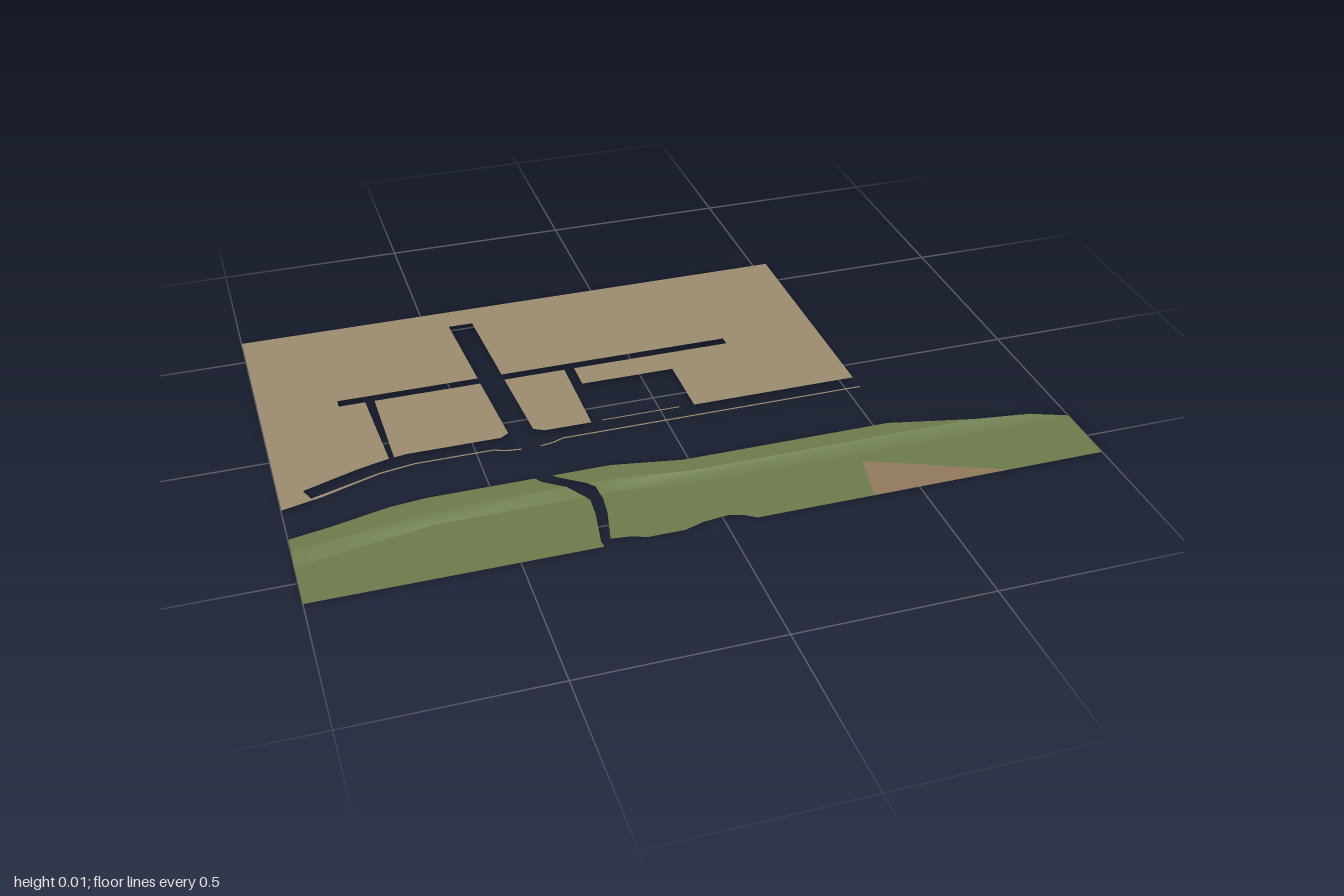
import * as THREE from 'three';

const H = 0.015; // height of the upper ground
const FRONT = 0.577;

// Crest and foot of the embankment as (x, z) lines
const CREST = [[-1, 0.4], [-0.88, 0.38], [-0.66, 0.34], [-0.2, 0.34], [-0.02, 0.365], [1, 0.365]];
const FOOT = [[-1, 0.44], [-0.88, 0.415], [-0.66, 0.375], [-0.2, 0.375], [-0.02, 0.402], [1, 0.402]];

function zAt(line, x) {
  let i = 0;
  while (i < line.length - 2 && x > line[i + 1][0]) i++;
  const [a, b] = [line[i], line[i + 1]];
  return a[1] + (b[1] - a[1]) * (x - a[0]) / (b[0] - a[0]);
}

// Ground height: flat above the crest, sloping to zero at the foot
function slopeY(x, z) {
  const c = zAt(CREST, x), f = zAt(FOOT, x);
  return H * THREE.MathUtils.clamp((f - z) / (f - c), 0, 1);
}

const earth = new THREE.MeshStandardMaterial({ color: 0x9a8a6e, side: THREE.DoubleSide });
const grass = new THREE.MeshStandardMaterial({ color: 0x6b7a4b, side: THREE.DoubleSide });
const soil = new THREE.MeshStandardMaterial({ color: 0x8f795c, side: THREE.DoubleSide });

// Surface bounded by (x, z) points, lifted by a height rule
function ground(name, points, material, heightAt) {
  const shape = new THREE.Shape(points.map(([x, z]) => new THREE.Vector2(x, -z)));
  const geo = new THREE.ShapeGeometry(shape).rotateX(-Math.PI / 2);
  const p = geo.attributes.position;
  for (let i = 0; i < p.count; i++) p.setY(i, heightAt(p.getX(i), p.getZ(i)));
  geo.computeVertexNormals();
  const mesh = new THREE.Mesh(geo, material);
  mesh.name = name;
  return mesh;
}

function createVillage() {
  const village = new THREE.Group();
  village.name = 'villageGround';
  const add = (name, pts) => village.add(ground(name, pts, earth, () => H));

  // Outer land, wrapped around the streets and the courtyard
  add('outerLand', [
    [-1, -FRONT], [0.53, -FRONT], [0.53, 0.085], [0.085, 0.085], [0.085, -0.1], [-0.165, -0.1],
    [-0.165, -0.182], [0.267, -0.182], [0.267, -0.209], [-0.358, -0.209], [-0.374, -0.497],
    [-0.44, -0.497], [-0.423, -0.209], [-0.797, -0.209], [-0.797, -0.182], [-0.728, -0.182],
    [-0.716, 0.092], [-0.8, 0.115], [-0.94, 0.166], [-0.925, 0.203], [-0.75, 0.145], [-0.66, 0.13],
    [-0.46, 0.13], [-0.43, 0.142], [-0.392, 0.147], [-0.392, 0.152], [-0.43, 0.147], [-0.46, 0.135],
    [-0.66, 0.135], [-0.75, 0.151], [-0.9, 0.205], [-1, 0.23],
  ]);
  // Blocks either side of the avenue
  add('leftBlock', [
    [-0.704, -0.182], [-0.422, -0.182], [-0.407, 0.07], [-0.43, 0.085], [-0.67, 0.085], [-0.703, 0.09],
  ]);
  add('rightBlock', [
    [-0.357, -0.182], [-0.192, -0.182], [-0.192, 0.085], [-0.315, 0.085], [-0.342, 0.07],
  ]);
  // Thin verges along the main road
  add('roadVerge', [
    [-0.342, 0.147], [-0.31, 0.142], [-0.28, 0.13], [0.53, 0.13],
    [0.53, 0.135], [-0.28, 0.135], [-0.31, 0.147], [-0.342, 0.152],
  ]);
  add('courtyardVerge', [[-0.163, 0.081], [0.045, 0.081], [0.045, 0.085], [-0.163, 0.085]]);
  return village;
}

function createEmbankment() {
  const bank = new THREE.Group();
  bank.name = 'embankment';
  const add = (name, pts, mat = grass) => bank.add(ground(name, pts, mat, slopeY));

  // Shared lines on each side of the footpath cutting
  const crestL = [...CREST.slice(0, 3), [-0.327, 0.34]];
  const footL = [...FOOT.slice(0, 3), [-0.288, 0.375]];
  const crestR = [[-0.275, 0.34], ...CREST.slice(3, 5), [0.75, 0.365]];
  const footR = [[-0.252, 0.375], ...FOOT.slice(3)];
  const back = (line) => [...line].reverse();

  add('leftTerrace', [
    [-1, 0.35], [-0.9, 0.33], [-0.75, 0.293], [-0.66, 0.283], [-0.392, 0.283], [-0.378, 0.303],
    ...back(crestL),
  ]);
  add('leftSlope', [...crestL, ...back(footL)]);
  add('leftMeadow', [
    ...footL, [-0.281, 0.39], [-0.285, 0.45], [-0.302, 0.555], [-0.3, FRONT], [-1, FRONT],
  ]);

  add('rightTerrace', [
    [-0.347, 0.283], [-0.2, 0.283], [-0.02, 0.315], [0.53, 0.315], ...back(crestR), [-0.337, 0.295],
  ]);
  add('rightSlope', [...crestR, [0.9, 0.378], ...back(footR), [-0.257, 0.353]]);
  add('rightMeadow', [
    ...footR, [1, FRONT], [0.74, FRONT], [0.41, 0.433], [0.38, FRONT], [0.08, FRONT], [0.05, 0.557],
    [0.015, 0.547], [-0.05, 0.555], [-0.1, 0.572], [-0.19, 0.572], [-0.235, 0.557], [-0.278, 0.552],
    [-0.256, 0.45], [-0.25, 0.39],
  ]);
  // Bare patch of soil at the front edge
  add('soilPatch', [[0.41, 0.433], [0.74, FRONT], [0.38, FRONT]], soil);
  return bank;
}

export function createModel() {
  const model = new THREE.Group();
  model.name = 'villageTerrain';
  model.add(createVillage(), createEmbankment());
  return model;
}
